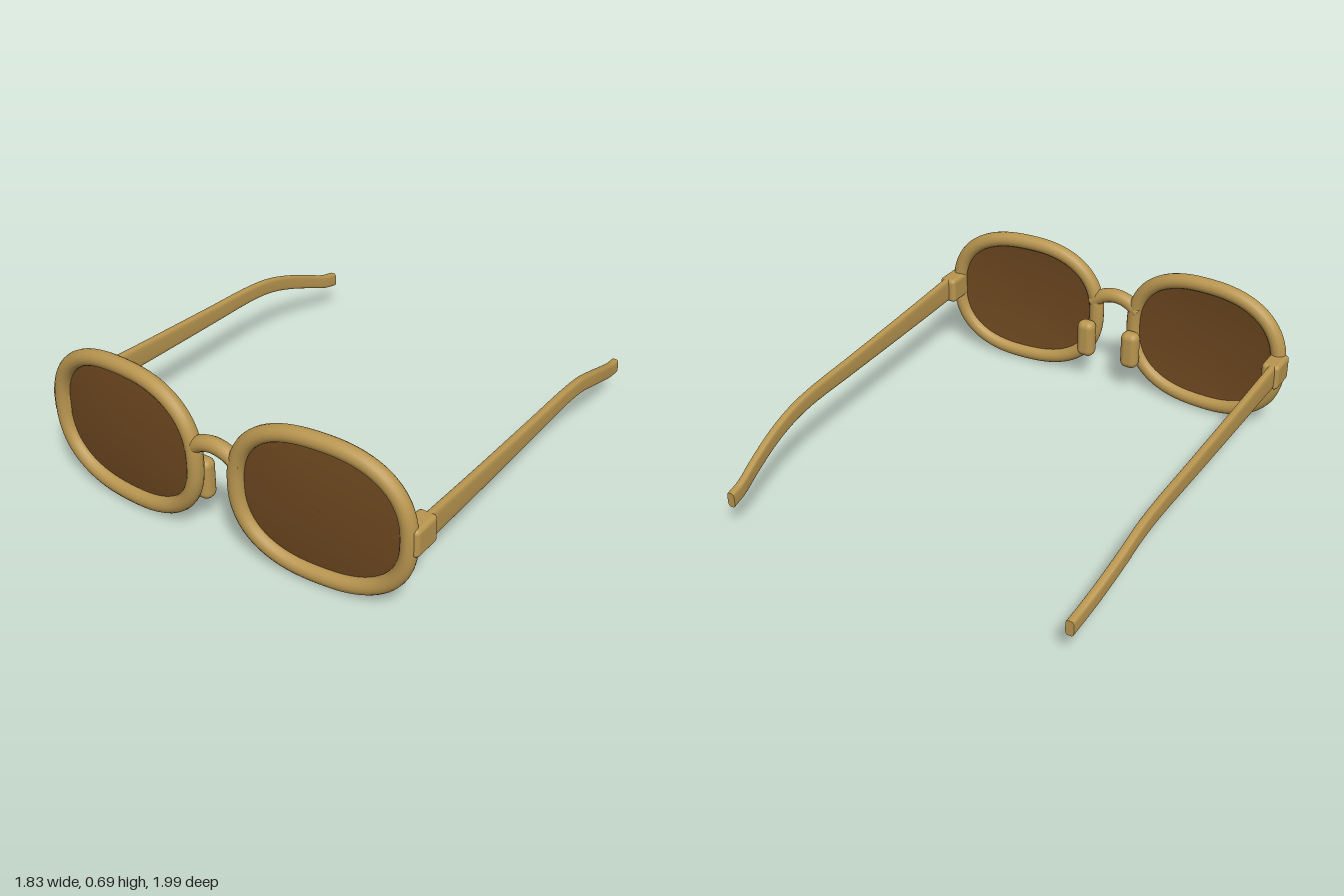
import * as THREE from 'three';
import { RoundedBoxGeometry } from 'three/addons/geometries/RoundedBoxGeometry.js';

const frameMat = new THREE.MeshStandardMaterial({ color: 0xb8954f });
frameMat.name = 'tan frame';
const lensMat = new THREE.MeshStandardMaterial({ color: 0x6e4820, side: THREE.DoubleSide });
lensMat.name = 'brown lens';

function mesh(name, geometry, material = frameMat) {
  const m = new THREE.Mesh(geometry, material);
  m.name = name;
  return m;
}

// Point on a softly squared oval
function oval(t, a, b, n) {
  const c = Math.cos(t), s = Math.sin(t);
  return [
    a * Math.sign(c) * Math.abs(c) ** (2 / n),
    b * Math.sign(s) * Math.abs(s) ** (2 / n),
  ];
}

// Closed round tube following the lens outline
function rimGeometry() {
  const pts = [];
  for (let i = 0; i < 48; i++) {
    const [x, y] = oval((i / 48) * Math.PI * 2, 0.383, 0.309, 2.4);
    pts.push(new THREE.Vector3(x, y, 0));
  }
  return new THREE.TubeGeometry(new THREE.CatmullRomCurve3(pts, true), 96, 0.036, 16, true);
}

// Gently domed sheet, bulging forward
function lensGeometry() {
  const g = new THREE.RingGeometry(0.001, 1, 72, 8);
  const p = g.attributes.position;
  for (let i = 0; i < p.count; i++) {
    const r = Math.hypot(p.getX(i), p.getY(i));
    const [x, y] = oval(Math.atan2(p.getY(i), p.getX(i)), 0.375 * r, 0.3 * r, 2.4);
    p.setXYZ(i, x, y, -0.008 + 0.02 * (1 - r * r));
  }
  g.computeVertexNormals();
  return g;
}

// Temple arm lofted through rounded rectangular sections
function templeGeometry(side) {
  // each station: x, y, height; z runs evenly between the keys
  const keys = [
    [0.88, 0.355, 0.12, 0.82], [0.873, 0.341, 0.103, 0.4], [0.865, 0.33, 0.086, -0.05],
    [0.859, 0.322, 0.075, -0.38], [0.855, 0.304, 0.074, -0.52], [0.849, 0.265, 0.073, -0.66],
    [0.832, 0.208, 0.072, -0.82], [0.817, 0.171, 0.07, -0.92], [0.81, 0.155, 0.07, -1],
  ];
  const path = new THREE.CatmullRomCurve3(keys.map(k => new THREE.Vector3(k[0], k[1], k[3])));
  const STEPS = 48, N = 24, pos = [], idx = [];
  for (let i = 0; i <= STEPS; i++) {
    const u = i / STEPS, c = path.getPoint(u);
    const f = u * (keys.length - 1), k = Math.min(Math.floor(f), keys.length - 2);
    const h = THREE.MathUtils.lerp(keys[k][2], keys[k + 1][2], f - k);
    for (let j = 0; j < N; j++) {
      const [x, y] = oval((j / N) * Math.PI * 2, 0.0185, h / 2, 4);
      pos.push(side * (c.x + x), c.y + y, c.z);
    }
  }
  const tri = (a, b, c) => (side > 0 ? idx.push(a, b, c) : idx.push(a, c, b));
  for (let i = 0; i < STEPS; i++) {
    for (let j = 0; j < N; j++) {
      const a = i * N + j, b = i * N + (j + 1) % N;
      tri(a, a + N, b);
      tri(b, a + N, b + N);
    }
  }
  // flat end caps with their own vertices
  for (const [ring, back] of [[0, false], [STEPS, true]]) {
    const start = pos.length / 3;
    pos.push(...pos.slice(ring * N * 3, (ring + 1) * N * 3));
    for (let j = 1; j < N - 1; j++) {
      if (back) tri(start, start + j + 1, start + j);
      else tri(start, start + j, start + j + 1);
    }
  }
  const g = new THREE.BufferGeometry();
  g.setAttribute('position', new THREE.Float32BufferAttribute(pos, 3));
  g.setIndex(idx);
  g.computeVertexNormals();
  return g;
}

export function createModel() {
  const model = new THREE.Group();
  model.name = 'sunglasses';

  for (const side of [1, -1]) {
    const label = side > 0 ? 'left' : 'right';

    // Rim and lens, swept back slightly toward the temple
    const eye = new THREE.Group();
    eye.name = label + 'Eye';
    eye.add(mesh(label + 'Rim', rimGeometry()), mesh(label + 'Lens', lensGeometry(), lensMat));
    eye.position.set(side * 0.485, 0.345, 0.932);
    eye.rotation.y = side * 0.064;
    model.add(eye);

    // Hinge block
    const hinge = mesh(label + 'Hinge', new RoundedBoxGeometry(0.086, 0.125, 0.145, 4, 0.02));
    hinge.position.set(side * 0.872, 0.352, 0.853);
    model.add(hinge);

    // Nose pad
    const pad = mesh(label + 'NosePad', new RoundedBoxGeometry(0.09, 0.19, 0.075, 6, 0.034));
    pad.position.set(side * 0.12, 0.237, 0.888);
    model.add(pad);

    model.add(mesh(label + 'Temple', templeGeometry(side)));
  }

  // Arched bridge
  const arch = new THREE.CatmullRomCurve3([
    new THREE.Vector3(-0.125, 0.415, 0.953), new THREE.Vector3(-0.065, 0.455, 0.955),
    new THREE.Vector3(0, 0.469, 0.955),
    new THREE.Vector3(0.065, 0.455, 0.955), new THREE.Vector3(0.125, 0.415, 0.953),
  ]);
  model.add(mesh('bridge', new THREE.TubeGeometry(arch, 24, 0.035, 16)));

  return model;
}
